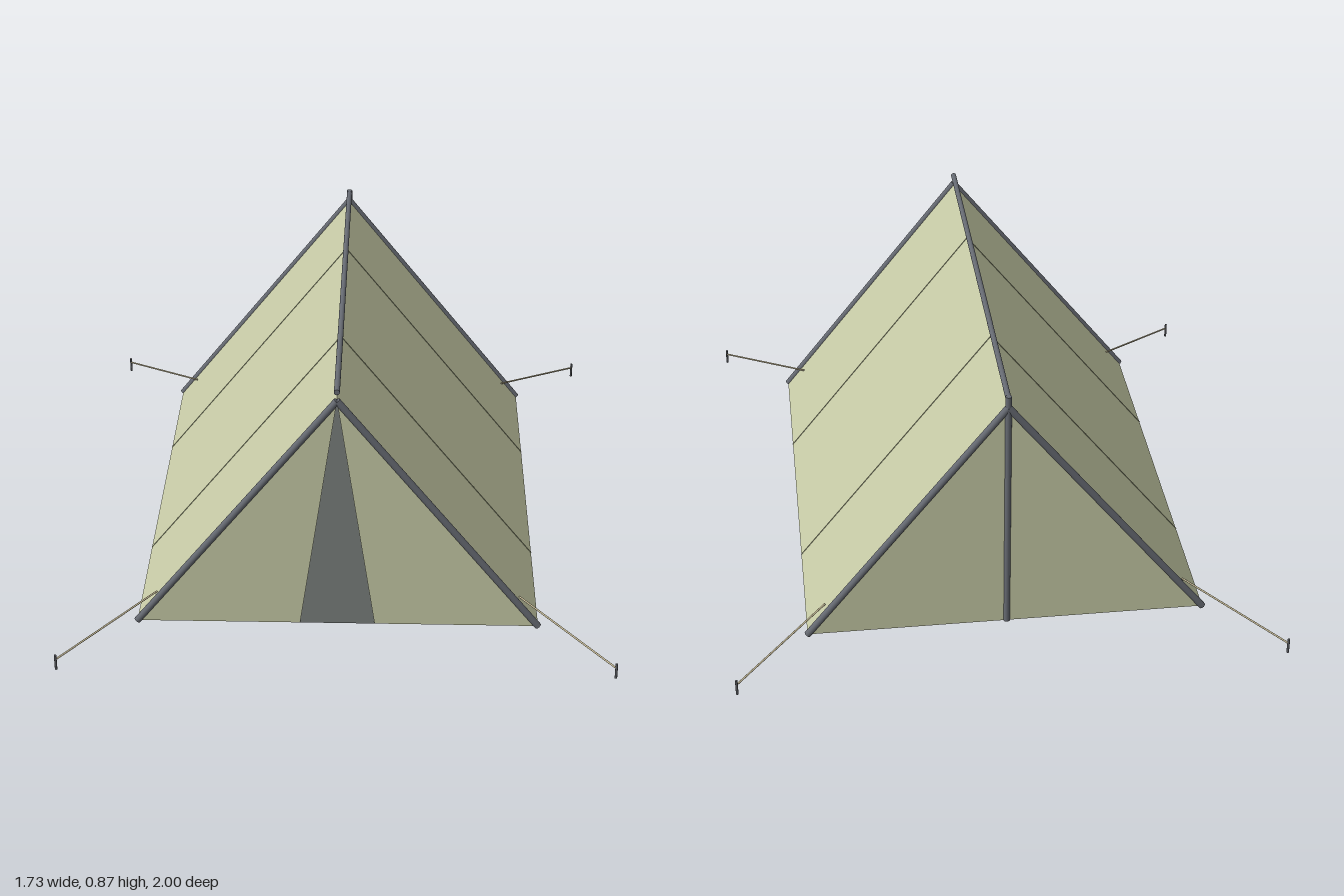
import * as THREE from 'three';

const mat = (name, color, side = THREE.FrontSide) => {
  const m = new THREE.MeshStandardMaterial({ color, side });
  m.name = name;
  return m;
};

// Main dimensions
const W = 0.635, BASE = 0.03, APEX = 0.83, Z = 0.767, DOOR = 0.118, SEAM = 0.338;

export function createModel() {
  const tent = new THREE.Group();
  tent.name = 'tent';
  const canvas = mat('canvas', 0xc5c9a5, THREE.DoubleSide);
  const floorCloth = mat('groundsheet', 0x5b5f5d, THREE.DoubleSide);
  const metal = mat('poleMetal', 0x666a72);
  const cord = mat('cord', 0xc2b795);
  const seamMat = mat('seamThread', 0xa3a785);
  const pegMat = mat('pegMetal', 0x55575c);

  const add = (name, geo, material) => {
    const mesh = new THREE.Mesh(geo, material);
    mesh.name = name;
    tent.add(mesh);
    return mesh;
  };

  // Flat panel from corners listed counter-clockwise
  const panel = (name, pts, material) => {
    const geo = new THREE.BufferGeometry();
    geo.setAttribute('position', new THREE.Float32BufferAttribute(pts.flat(), 3));
    geo.setIndex(pts.length === 4 ? [0, 1, 2, 0, 2, 3] : [0, 1, 2]);
    geo.computeVertexNormals();
    add(name, geo, material);
  };

  // Round rod between two points
  const rod = (name, a, b, r, material) => {
    const from = new THREE.Vector3(...a), to = new THREE.Vector3(...b);
    const dir = to.clone().sub(from);
    const mesh = add(name, new THREE.CylinderGeometry(r, r, dir.length(), 16), material);
    mesh.position.copy(from).add(to).multiplyScalar(0.5);
    mesh.quaternion.setFromUnitVectors(new THREE.Vector3(0, 1, 0), dir.normalize());
  };

  // Groundsheet and back wall
  panel('groundsheet', [[-W, BASE, Z], [W, BASE, Z], [W, BASE, -Z], [-W, BASE, -Z]], floorCloth);
  panel('backWall', [[W, BASE, -Z], [-W, BASE, -Z], [0, APEX, -Z]], canvas);

  for (const s of [-1, 1]) {
    const ordered = (pts) => (s > 0 ? pts : pts.reverse());

    // Sloping roof and front door flap
    panel('roofSide', ordered([[s * W, BASE, Z], [s * W, BASE, -Z], [0, APEX, -Z], [0, APEX, Z]]), canvas);
    panel('frontFlap', ordered([[s * DOOR, BASE, Z], [s * W, BASE, Z], [0, APEX, Z]]), canvas);

    for (const e of [-1, 1]) {
      // Raised seam running down the roof
      rod('roofSeam', [s * W, BASE, e * SEAM], [0, APEX, e * SEAM], 0.002, seamMat);

      // Gable pole, guy rope and peg
      rod('gablePole', [s * W, BASE, e * Z], [0, APEX, e * Z], 0.011, metal);
      rod('guyRope', [s * 0.575, 0.109, e * 0.72], [s * 0.862, 0.036, e * 0.996], 0.003, cord);
      rod('peg', [s * 0.862, 0, e * 0.996], [s * 0.862, 0.052, e * 0.996], 0.004, pegMat);
    }
  }

  // Ridge pole and rear upright
  rod('ridgePole', [0, 0.86, -Z - 0.003], [0, 0.86, Z + 0.003], 0.009, metal);
  rod('rearUpright', [0, BASE, -Z], [0, 0.869, -Z], 0.01, metal);

  return tent;
}
